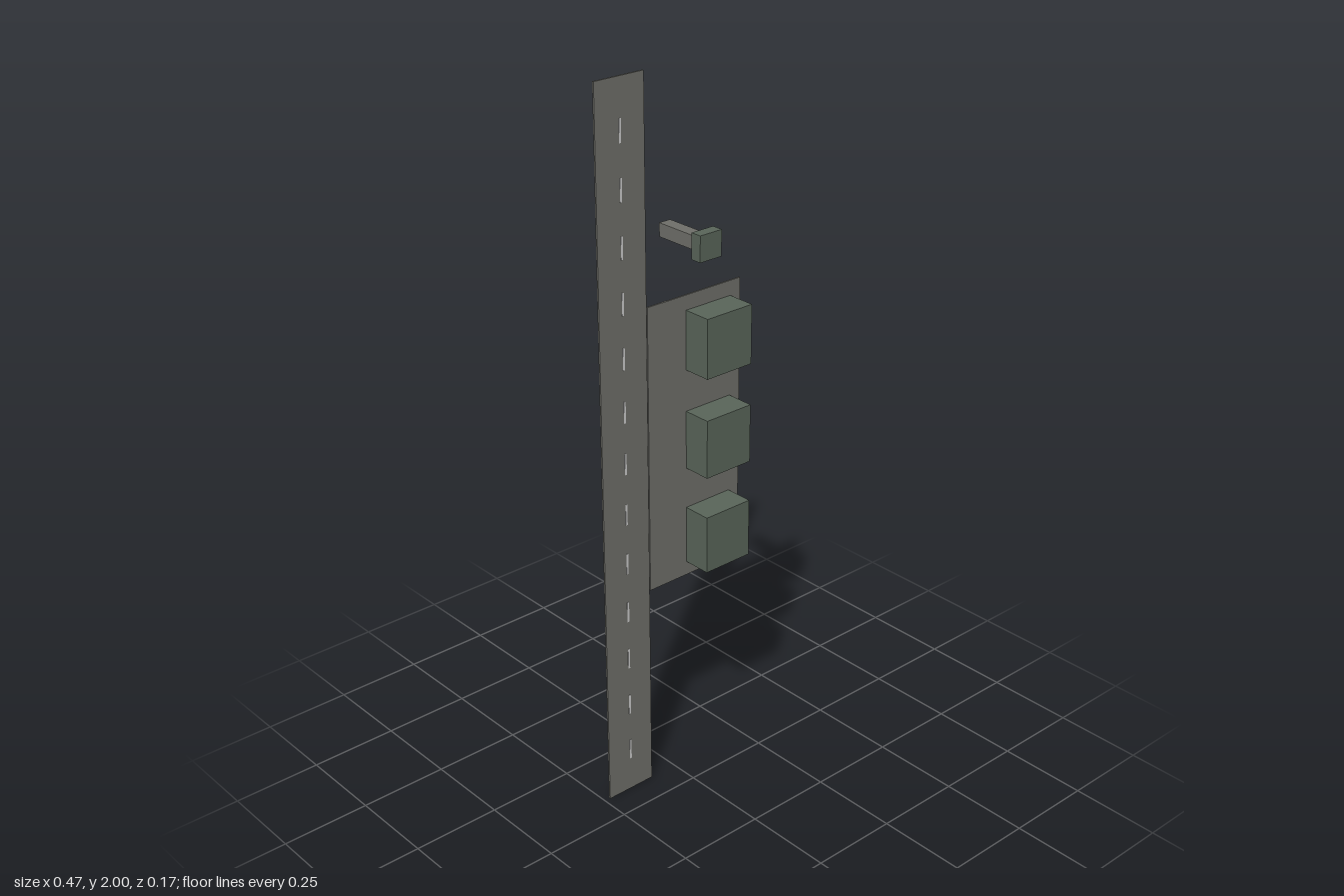
import * as THREE from 'three';

export function createModel() {
  const model = new THREE.Group();
  const paving = new THREE.MeshStandardMaterial({ color: 0x70706a });
  const cladding = new THREE.MeshStandardMaterial({ color: 0x5a665a });
  const paint = new THREE.MeshStandardMaterial({ color: 0xcccccc });

  // Box given by its extents along each axis
  function box(name, material, [x0, x1], [y0, y1], [z0, z1], parent = model) {
    const mesh = new THREE.Mesh(new THREE.BoxGeometry(x1 - x0, y1 - y0, z1 - z0), material);
    mesh.position.set((x0 + x1) / 2, (y0 + y1) / 2, (z0 + z1) / 2);
    mesh.name = name;
    parent.add(mesh);
  }

  const back = -0.085, ground = -0.08;

  // Runway strip with its dashed centre line
  box('runway', paving, [-0.233, -0.083], [0, 2], [back, ground]);
  const centreLine = new THREE.Group();
  centreLine.name = 'centreLine';
  model.add(centreLine);
  for (let i = -6; i <= 6; i++) {
    const y = 1 + i * 0.145;
    box('centreLineDash', paint, [-0.161, -0.155], [y - 0.03, y + 0.03], [ground, ground + 0.001], centreLine);
  }

  // Paved apron beside the runway
  box('apron', paving, [-0.08, 0.232], [0.6, 1.405], [back, ground]);

  // Row of three hangars, founded just inside the apron slab
  for (const y of [0.722, 1.002, 1.282]) {
    box('hangar', cladding, [0.047, 0.198], [y - 0.082, y + 0.082], [back + 0.001, 0.001]);
  }

  // Control tower: shaft and wider cab
  box('towerShaft', paving, [-0.035, 0], [1.578, 1.614], [back, 0.053]);
  box('towerCab', cladding, [-0.053, 0.016], [1.562, 1.63], [0.053, 0.084]);

  return model;
}
